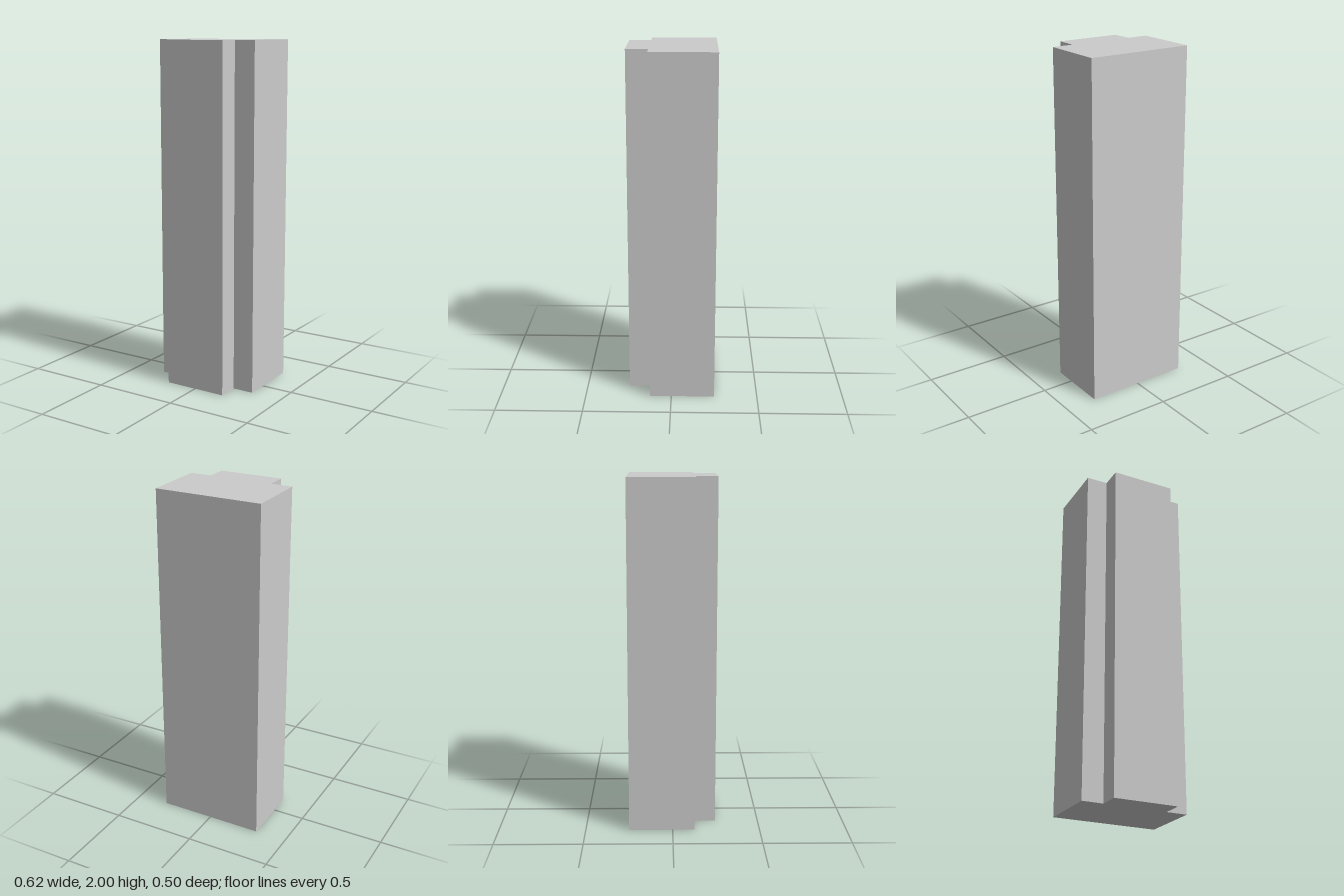
import * as THREE from 'three';

const HEIGHT = 2;

export function createModel() {
  const group = new THREE.Group();
  group.name = 'pilaster';

  // Right half of the T-shaped plan as [x, z], from back to front
  const half = [[0.3125, -0.25], [0.3125, 0.125], [0.1875, 0.125], [0.1875, 0.25]];
  const outline = [...half, ...half.map(([x, z]) => [-x, z]).reverse()];

  // The plan is drawn with z negated, so that tipping it upright keeps the tongue at +z
  const plan = new THREE.Shape(outline.map(([x, z]) => new THREE.Vector2(x, -z)));
  const geometry = new THREE.ExtrudeGeometry(plan, { depth: HEIGHT, bevelEnabled: false });
  geometry.rotateX(-Math.PI / 2);

  // One solid shaft with a raised front tongue
  const shaft = new THREE.Mesh(
    geometry,
    new THREE.MeshStandardMaterial({ color: 0xcccccc, flatShading: true })
  );
  shaft.name = 'shaft';
  group.add(shaft);
  return group;
}
